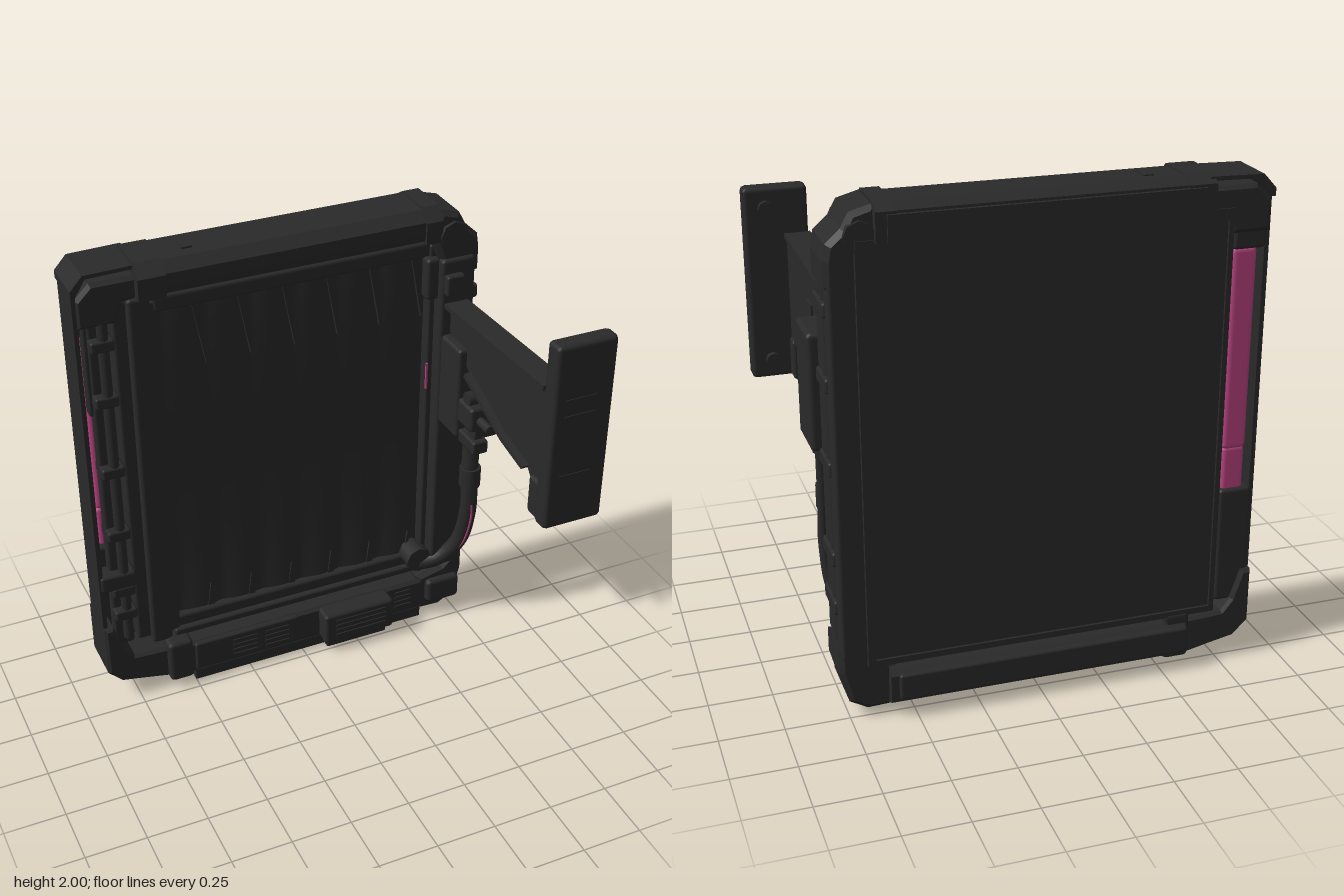
import * as THREE from 'three';
import { RoundedBoxGeometry } from 'three/addons/geometries/RoundedBoxGeometry.js';

export function createModel() {
  const model = new THREE.Group();
  const body = new THREE.MeshStandardMaterial({ color: 0x2a2a2a });
  body.name = 'dark metal';
  const pink = new THREE.MeshStandardMaterial({ color: 0xb8437f });
  pink.name = 'pink light';

  const add = (name, geo, mat = body) => {
    const m = new THREE.Mesh(geo, mat);
    m.name = name;
    model.add(m);
    return m;
  };
  // Box given by its limits, optionally with rounded edges
  const box = (name, x0, x1, y0, y1, z0, z1, r = 0, mat = body) => {
    const s = [x1 - x0, y1 - y0, z1 - z0];
    const g = r ? new RoundedBoxGeometry(...s, 1, r) : new THREE.BoxGeometry(...s);
    g.translate((x0 + x1) / 2, (y0 + y1) / 2, (z0 + z1) / 2);
    return add(name, g, mat);
  };
  const shapeOf = pts => new THREE.Shape(pts.map(p => new THREE.Vector2(...p)));
  // Outline in (z, y), extruded along x
  const prismX = (name, pts, x0, x1) => {
    const g = new THREE.ExtrudeGeometry(shapeOf(pts), { depth: x1 - x0, bevelEnabled: false });
    g.rotateY(-Math.PI / 2).translate(x1, 0, 0);
    return add(name, g);
  };
  // Outline in (x, y), extruded along z
  const prismZ = (name, pts, z0, z1, bevel = 0) => {
    const g = new THREE.ExtrudeGeometry(shapeOf(pts), {
      depth: z1 - z0 - 2 * bevel, bevelEnabled: bevel > 0, bevelSize: bevel,
      bevelThickness: bevel, bevelOffset: -bevel, bevelSegments: 1 });
    g.translate(0, 0, z0 + bevel);
    return add(name, g);
  };
  const tube = (name, pts, r, mat = body) => add(name, new THREE.TubeGeometry(
    new THREE.CatmullRomCurve3(pts.map(p => new THREE.Vector3(...p))), 28, r, 10), mat);
  const rod = (name, x, y, z, r, len, axis = 'y', sides = 12) => {
    const g = new THREE.CylinderGeometry(r, r, len, sides);
    if (axis === 'x') g.rotateZ(Math.PI / 2);
    if (axis === 'z') g.rotateX(Math.PI / 2);
    return add(name, g.translate(x, y, z));
  };

  // Back panel with a shallow lip
  box('backPanel', -0.72, 0.67, 0.225, 1.87, -0.525, -0.45);
  for (const [x0, x1] of [[-0.72, -0.7], [0.65, 0.68]]) box('backLip', x0, x1, 0.225, 1.87, -0.535, -0.51);
  for (const [y0, y1] of [[0.225, 0.25], [1.825, 1.87]]) box('backLip', -0.7, 0.65, y0, y1, -0.535, -0.51);

  // Pleated sheet set into the front
  const sheet = new THREE.PlaneGeometry(1.16, 1.46, 42, 12);
  const p = sheet.attributes.position;
  for (let i = 0; i < p.count; i++) {
    const u = p.getX(i), v = Math.abs(p.getY(i)) / 0.73;
    p.setZ(i, 0.015 * Math.abs(Math.sin(u * 17 + p.getY(i) * 0.25)) * v * v);
  }
  sheet.translate(0.02, 1.05, -0.38);
  sheet.computeVertexNormals();
  add('pleatedSheet', sheet);
  for (let x = -0.39; x < 0.6; x += 0.186) {
    prismZ('topPleat', [[x - 0.02, 1.77], [x + 0.03, 1.5], [x + 0.02, 1.77]], -0.39, -0.363);
    prismZ('bottomPleat', [[x - 0.015, 0.33], [x + 0.015, 0.33], [x, 0.44]], -0.39, -0.363);
  }

  // Stepped front rim around the sheet
  box('rimLeftOuter', -0.725, -0.66, 0.25, 1.84, -0.47, -0.36, 0.012);
  box('rimLeftMiddle', -0.67, -0.58, 0.23, 1.85, -0.47, -0.33, 0.015);
  box('rimLeftInner', -0.59, -0.54, 0.26, 1.82, -0.47, -0.345, 0.01);
  box('rimRight', 0.585, 0.63, 0.25, 1.83, -0.47, -0.33, 0.01);
  box('rimTop', -0.57, 0.6, 1.77, 1.84, -0.47, -0.34, 0.015);
  box('rimBottom', -0.57, 0.6, 0.235, 0.27, -0.47, -0.33, 0.01);
  box('rimBottomInner', -0.57, 0.58, 0.27, 0.33, -0.47, -0.345, 0.015);

  // Top bar with chamfered edges and end collars
  prismX('topBar', [[-0.295, 1.87], [-0.29, 1.9], [-0.29, 1.95], [-0.33, 1.99],
    [-0.5, 1.995], [-0.545, 1.97], [-0.55, 1.86], [-0.4, 1.86]], -0.6, 0.6);
  for (const [x0, x1] of [[-0.64, -0.53], [0.54, 0.61]])
    prismX('topCollar', [[-0.28, 1.86], [-0.28, 1.95], [-0.33, 2], [-0.5, 2], [-0.55, 1.97], [-0.55, 1.86]], x0, x1);
  box('topClip', -0.43, -0.39, 1.9, 1.998, -0.46, -0.38);
  box('topBackStrip', -0.6, 0.57, 1.86, 1.96, -0.56, -0.54);

  // Top right corner and column
  prismZ('topRightCorner', [[0.58, 1.86], [0.6, 1.99], [0.69, 1.965], [0.72, 1.91],
    [0.775, 1.86], [0.785, 1.8], [0.785, 1.7], [0.64, 1.7]], -0.515, -0.285, 0.02);
  rod('cornerBolt', 0.66, 1.88, -0.4, 0.06, 0.26, 'z', 8);
  box('columnBack', 0.66, 0.775, 0.2, 1.8, -0.515, -0.43, 0.015);
  box('columnFront', 0.61, 0.76, 0.28, 1.78, -0.45, -0.27, 0.015);
  box('columnGuide', 0.73, 0.775, 0.3, 1.72, -0.37, -0.3, 0.01);
  rod('columnPipe', 0.755, 1, -0.405, 0.025, 1.4);
  for (const y of [0.42, 0.62, 0.98, 1.3, 1.58])
    box('columnClamp', 0.68, 0.785, y, y + 0.06, -0.46, -0.285, 0.012);
  box('columnCatch', 0.62, 0.7, 1.63, 1.72, -0.3, -0.24, 0.01);
  box('frontLatch', 0.56, 0.62, 1.6, 1.78, -0.36, -0.3, 0.015);
  box('pinkTrim', 0.58, 0.588, 1.18, 1.3, -0.33, -0.322, 0, pink);

  // Bottom right corner
  prismZ('bottomRightCorner', [[0.56, 0.22], [0.56, 0.035], [0.68, 0.03], [0.75, 0.07],
    [0.785, 0.2], [0.785, 0.3], [0.71, 0.28], [0.68, 0.25]], -0.515, -0.295, 0.02);
  box('bottomRightPad', 0.6, 0.76, 0.08, 0.2, -0.5, -0.265, 0.02);
  rod('bottomPivot', 0.56, 0.33, -0.33, 0.06, 0.1, 'z', 8);

  // Bottom bar, vents and lower tray
  prismX('bottomBar', [[-0.295, 0.06], [-0.295, 0.19], [-0.31, 0.205], [-0.53, 0.205],
    [-0.555, 0.18], [-0.555, 0.07], [-0.5, 0.04], [-0.31, 0.04]], -0.6, 0.6);
  box('bottomBackStrip', -0.6, 0.57, 0.08, 0.19, -0.573, -0.54, 0.012);
  prismX('lowerTray', [[-0.3, 0], [-0.3, 0.05], [-0.5, 0.05], [-0.45, 0.005]], -0.5, 0.58);
  box('ventBox', 0.08, 0.41, 0.05, 0.2, -0.32, -0.222, 0.015);
  box('ventBoxFoot', 0.1, 0.39, 0.005, 0.06, -0.32, -0.255, 0.01);
  box('ventPanel', -0.5, -0.02, 0.06, 0.2, -0.32, -0.285, 0.01);
  for (const [x0, x1, z] of [[-0.33, -0.22, -0.285], [-0.18, -0.07, -0.285], [0.13, 0.37, -0.222], [0.45, 0.53, -0.295]])
    for (let i = 0; i < 4; i++)
      box('ventSlat', x0, x1, 0.085 + i * 0.025, 0.097 + i * 0.025, z - 0.002, z + 0.005);
  box('bottomLeftCollar', -0.62, -0.51, 0.04, 0.24, -0.54, -0.275, 0.02);

  // Left corners
  prismZ('topLeftCorner', [[-0.87, 1.77], [-0.72, 1.77], [-0.69, 1.85], [-0.6, 1.86],
    [-0.6, 1.95], [-0.81, 1.95], [-0.87, 1.89]], -0.53, -0.32, 0.015);
  prismZ('topLeftStrap', [[-0.88, 1.9], [-0.865, 1.9], [-0.82, 1.97], [-0.62, 1.975],
    [-0.62, 1.99], [-0.83, 1.985], [-0.88, 1.93]], -0.53, -0.33);
  prismZ('bottomLeftCorner', [[-0.88, 0.38], [-0.88, 0.15], [-0.82, 0.09], [-0.72, 0.07],
    [-0.58, 0.04], [-0.58, 0.2], [-0.76, 0.21], [-0.8, 0.26], [-0.84, 0.38]], -0.53, -0.31, 0.012);
  rod('bottomLeftFoot', -0.695, 0.06, -0.4, 0.015, 0.06);

  // Left side rail and column
  box('outerRail', -0.88, -0.862, 0.18, 1.92, -0.5, -0.33);
  box('leftColumn', -0.825, -0.74, 0.25, 1.85, -0.41, -0.36, 0.012);
  box('columnShield', -0.84, -0.76, 1.37, 1.8, -0.42, -0.37, 0.01);
  rod('leftPipe', -0.77, 1.05, -0.345, 0.022, 1.5);
  for (const y of [0.4, 0.52, 0.8, 1.1, 1.42, 1.66])
    box('leftClamp', -0.825, -0.73, y, y + 0.05, -0.42, -0.32, 0.01);
  box('leftCatch', -0.875, -0.72, 0.56, 0.64, -0.44, -0.32, 0.015);

  // Light bar between its sockets, open to the back
  box('lightBar', -0.838, -0.735, 0.9, 1.71, -0.505, -0.425, 0.022, pink);
  box('lightBarTail', -0.838, -0.745, 0.72, 0.91, -0.495, -0.425, 0.018, pink);
  box('lightSocketTop', -0.865, -0.735, 1.7, 1.82, -0.51, -0.4, 0.015);
  box('lightSocketBottom', -0.87, -0.735, 0.25, 0.735, -0.51, -0.4, 0.015);

  // Wall bracket: plate, tapered arm and flanges
  box('wallPlate', 0.63, 0.885, 1.02, 1.81, 0.495, 0.575, 0.018);
  prismX('bracketArm', [[0.5, 1.62], [-0.3, 1.59], [-0.3, 1.48], [-0.08, 1.35], [0.1, 1.27],
    [0.22, 1.23], [0.39, 1.195], [0.425, 1.16], [0.425, 1.025], [0.5, 1.025]], 0.655, 0.72);
  prismX('topFlange', [[0.5, 1.62], [-0.3, 1.59], [-0.3, 1.57], [0.5, 1.6]], 0.625, 0.73);
  prismX('lowerFlange', [[0.22, 1.25], [-0.08, 1.37], [-0.09, 1.35], [0.22, 1.23], [0.39, 1.195], [0.4, 1.21]], 0.625, 0.73);
  box('plateFoot', 0.64, 0.73, 1.022, 1.19, 0.425, 0.5, 0.015);
  box('armPatch', 0.715, 0.727, 1.39, 1.47, 0.03, 0.12);
  for (const y of [1.58, 1.51, 1.25]) box('plateSlot', 0.68, 0.81, y, y + 0.006, 0.574, 0.578);
  for (const y of [1.1, 1.73]) rod('plateBolt', 0.8, y, 0.49, 0.03, 0.04, 'z', 8);

  // Junction box with valve
  box('junctionBox', 0.71, 0.815, 1.02, 1.48, -0.31, -0.095, 0.02);
  box('junctionBoxBack', 0.62, 0.73, 1.04, 1.45, -0.32, -0.12, 0.015);
  box('valveBody', 0.62, 0.71, 1.13, 1.24, -0.12, 0.0, 0.015);
  box('valveFoot', 0.63, 0.7, 1.03, 1.09, -0.12, 0.015, 0.01);
  box('valveStem', 0.645, 0.69, 1.05, 1.2, -0.06, -0.01, 0.01);
  rod('valveHandle', 0.665, 1.18, 0.03, 0.02, 0.1, 'z');
  rod('valveKnob', 0.665, 1.26, -0.06, 0.03, 0.07, 'x');

  // Cables from the junction box to the lower corner
  tube('mainCable', [[0.735, 1.04, -0.185], [0.735, 0.8, -0.185], [0.74, 0.6, -0.192],
    [0.72, 0.42, -0.232], [0.65, 0.32, -0.28], [0.55, 0.29, -0.32]], 0.036);
  tube('thinCable', [[0.765, 1.04, -0.22], [0.765, 0.8, -0.22], [0.77, 0.6, -0.23],
    [0.75, 0.42, -0.265], [0.68, 0.3, -0.32]], 0.02);
  tube('pinkCable', [[0.735, 0.66, -0.153], [0.74, 0.58, -0.16], [0.727, 0.45, -0.188],
    [0.71, 0.4, -0.208]], 0.005, pink);
  rod('cableCollar', 0.737, 0.79, -0.185, 0.046, 0.09);
  rod('cableGland', 0.737, 1, -0.185, 0.05, 0.06);

  return model;
}
